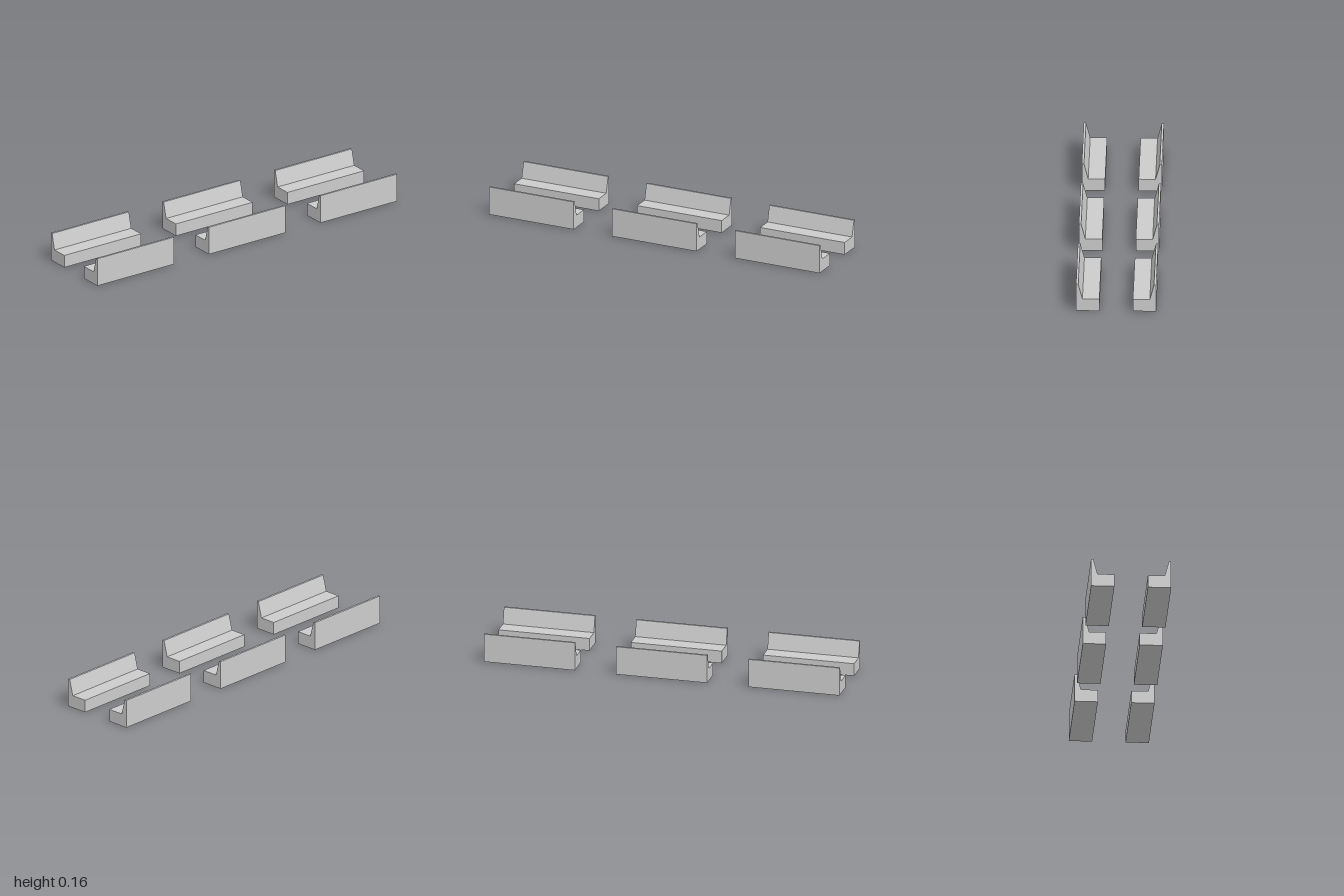
import * as THREE from 'three';

const LENGTH = 0.512;

// Bench cross-section: low seat with a tapered backrest on the outer side
const PROFILE = [
  [0.091, 0], [0.218, 0], [0.218, 0.16],
  [0.206, 0.16], [0.183, 0.071], [0.091, 0.071],
];

function benchGeometry(side) {
  const shape = new THREE.Shape(PROFILE.map(([x, y]) => new THREE.Vector2(side * x, y)));
  const geometry = new THREE.ExtrudeGeometry(shape, { depth: LENGTH, bevelEnabled: false });
  return geometry.translate(0, 0, -LENGTH / 2);
}

export function createModel() {
  const group = new THREE.Group();
  group.name = 'benches';
  const material = new THREE.MeshStandardMaterial({ color: 0xcccccc, flatShading: true });

  // Two facing rows of three benches
  for (const [side, label] of [[1, 'left'], [-1, 'right']]) {
    const geometry = benchGeometry(side);
    for (const [row, place] of [[1, 'Front'], [0, 'Middle'], [-1, 'Back']]) {
      const bench = new THREE.Mesh(geometry, material);
      bench.name = `${label}${place}Bench`;
      bench.position.z = row * (1 - LENGTH / 2);
      group.add(bench);
    }
  }
  return group;
}
